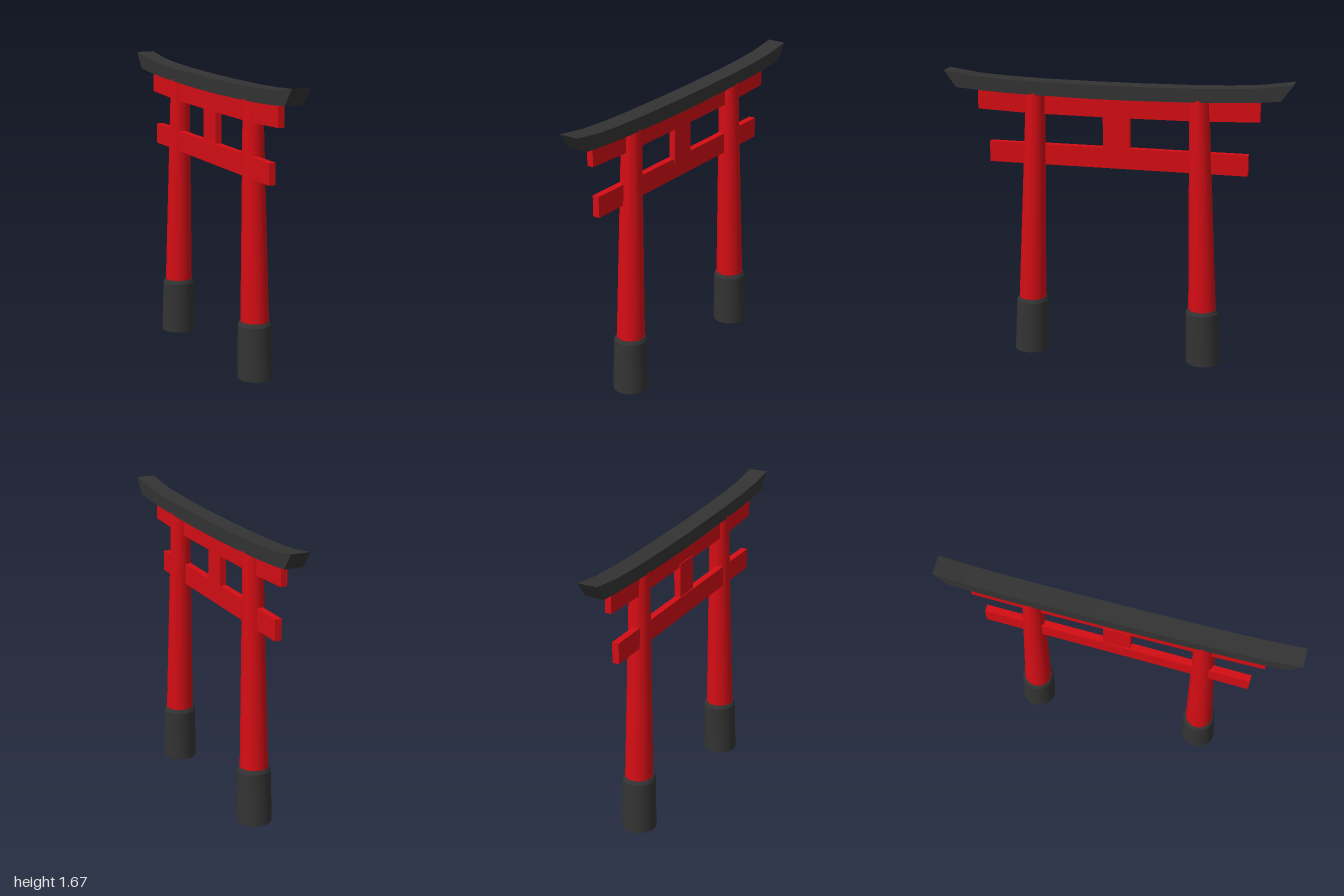
import * as THREE from 'three';
import { toCreasedNormals } from 'three/addons/utils/BufferGeometryUtils.js';

const red = new THREE.MeshStandardMaterial({ color: 0xd40d14 });
const dark = new THREE.MeshStandardMaterial({ color: 0x333333 });

function addMesh(parent, name, geometry, material) {
  const mesh = new THREE.Mesh(geometry, material);
  mesh.name = name;
  parent.add(mesh);
  return mesh;
}

// Closed turned shape whose axis leans inward as it rises
function leaningLathe(profile, side) {
  const points = profile.map(([r, y]) => new THREE.Vector2(r, y));
  const geometry = new THREE.LatheGeometry(points, 32);
  const p = geometry.attributes.position;
  for (let i = 0; i < p.count; i++) {
    p.setZ(i, p.getZ(i) + side * (0.518 - 0.0295 * p.getY(i)));
  }
  return toCreasedNormals(geometry, 0.45);
}

// Long profile in z and y, given from the middle outward, mirrored and given a thickness in x
function longBeam(top, bottom, thickness) {
  const flip = (list) => list.map(([z, y]) => [-z, y]);
  const outline = [
    ...flip(bottom).reverse(), ...bottom,
    ...[...top].reverse(), ...flip(top),
  ].map(([z, y]) => new THREE.Vector2(z, y));
  const geometry = new THREE.ExtrudeGeometry(new THREE.Shape(outline), {
    depth: thickness, bevelEnabled: false,
  });
  geometry.translate(0, 0, -thickness / 2);
  geometry.rotateY(-Math.PI / 2);
  return geometry;
}

export function createModel() {
  const gate = new THREE.Group();
  gate.name = 'gate';

  // Pillars with dark chamfered feet
  for (const side of [1, -1]) {
    const pillar = new THREE.Group();
    pillar.name = side > 0 ? 'frontPillar' : 'backPillar';
    addMesh(pillar, 'foot', leaningLathe(
      [[0, 0], [0.1, 0], [0.094, 0.305], [0.083, 0.325], [0, 0.325]], side), dark);
    addMesh(pillar, 'post', leaningLathe(
      [[0, 0.3], [0.08, 0.3], [0.056, 1.56], [0, 1.56]], side), red);
    gate.add(pillar);
  }

  // Curved top beam with slanted, upswept ends
  addMesh(gate, 'roofBeam', longBeam(
    [[0.12, 1.623], [0.45, 1.627], [0.65, 1.634], [0.82, 1.645], [1, 1.671]],
    [[0.12, 1.543], [0.45, 1.549], [0.65, 1.556], [0.82, 1.566], [0.93, 1.576]],
    0.11), dark);

  // Upper tie beam tucked under the roof beam
  const upper = addMesh(gate, 'upperBeam', longBeam(
    [[0.12, 1.555], [0.5, 1.56], [0.815, 1.572]],
    [[0.12, 1.431], [0.5, 1.433], [0.815, 1.446]],
    0.037), red);
  upper.position.x = -0.01;
  upper.rotation.y = -0.003;

  // Lower tie beam, set very slightly askew
  const lower = addMesh(gate, 'lowerBeam', new THREE.BoxGeometry(0.04, 0.12, 1.51), red);
  lower.position.set(-0.02, 1.193, 0);
  lower.rotation.y = -0.0133;

  // Short strut between the tie beams
  const strut = addMesh(gate, 'centreStrut', new THREE.BoxGeometry(0.038, 0.22, 0.155), red);
  strut.position.set(-0.015, 1.34, 0.001);

  return gate;
}
